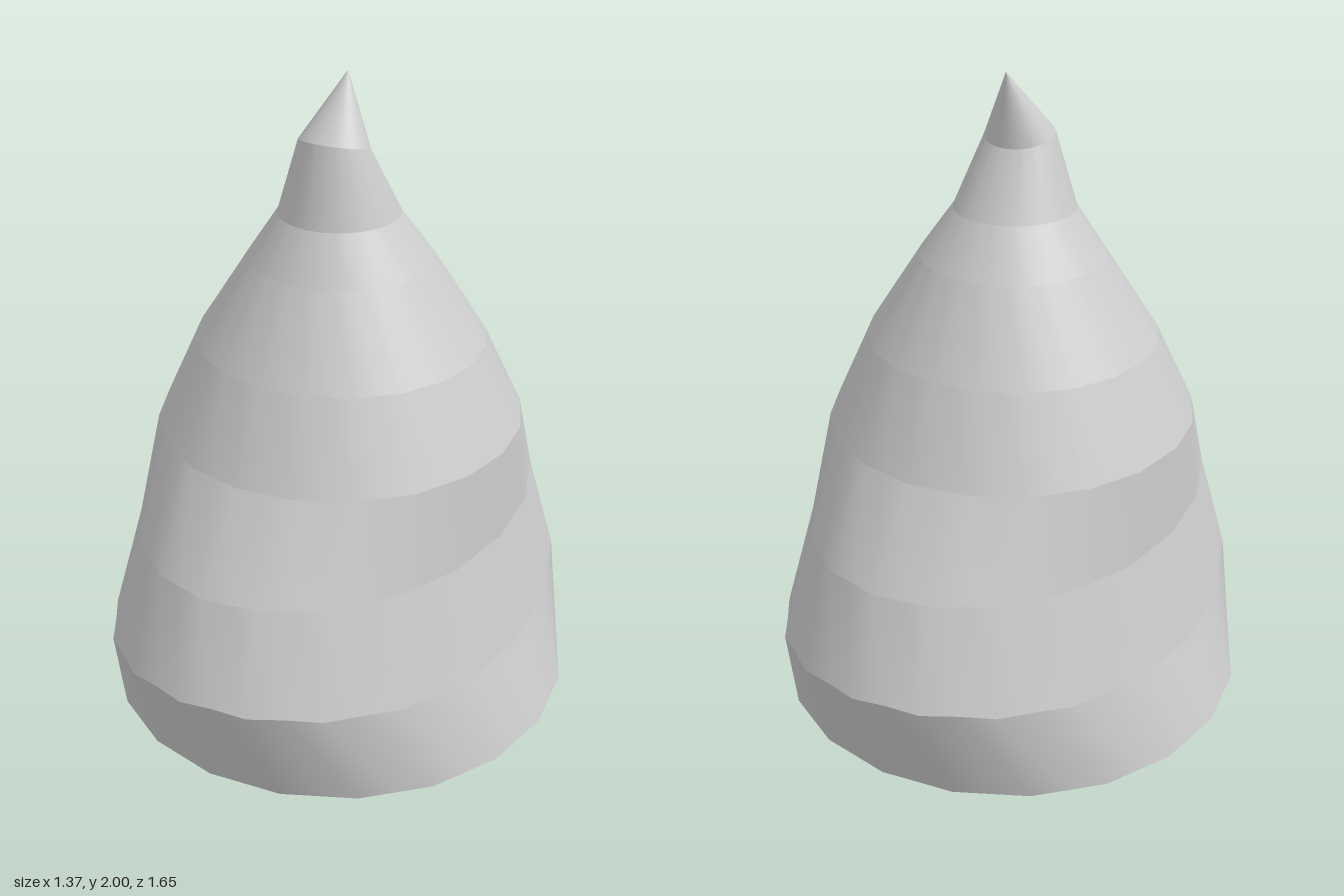
import * as THREE from 'three';

const SEGMENTS = 40;

// Cross-sections from bottom to top:
// height at the sides, extra height toward front and back, x radius, z radius, z centre, pleat depth
const base = [
  [0, 0, 0.385, 0.385, 0, 0.09],
  [0.155, 0.02, 0.685, 0.71, 0, 0.012],
];
const body = [
  base[1],
  [0.42, 0.09, 0.6, 0.825, 0, 0.015],
  [0.75, 0.02, 0.525, 0.71, 0, 0.015],
  [1.02, 0, 0.52, 0.535, 0, 0.012],
  [1.26, 0, 0.412, 0.408, 0, 0.012],
  [1.495, 0, 0.26, 0.26, 0, 0.012],
  [1.625, 0, 0.17, 0.17, 0.01, 0.012],
  [1.82, 0, 0.1, 0.085, 0.035, 0, 0.02],
];
const tip = [
  body[body.length - 1],
  [2, 0, 0, 0, -0.035, 0],
];

// Point on a cross-section; every second point sits slightly inward to form pleats
function ringPoint([y, rise, rx, rz, cz, pleat, tilt = 0], i) {
  const a = ((i % SEGMENTS) / SEGMENTS) * Math.PI * 2;
  const k = i % 2 ? 1 - pleat : 1;
  const s = Math.sin(a);
  return [Math.cos(a) * rx * k, y + rise * s * s + tilt * s, cz + s * rz * k];
}

// Skin between cross-sections, smooth around and creased at each ring
function loft(name, rings, material) {
  const positions = [];
  const index = [];
  for (let r = 0; r < rings.length - 1; r++) {
    const start = positions.length / 3;
    for (let i = 0; i < SEGMENTS; i++) {
      positions.push(...ringPoint(rings[r], i), ...ringPoint(rings[r + 1], i));
    }
    for (let i = 0; i < SEGMENTS; i++) {
      const a = start + i * 2;
      const b = start + ((i + 1) % SEGMENTS) * 2;
      index.push(a, a + 1, b + 1, a, b + 1, b);
    }
  }
  const geometry = new THREE.BufferGeometry();
  geometry.setAttribute('position', new THREE.Float32BufferAttribute(positions, 3));
  geometry.setIndex(index);
  geometry.computeVertexNormals();
  const mesh = new THREE.Mesh(geometry, material);
  mesh.name = name;
  return mesh;
}

export function createModel() {
  const group = new THREE.Group();
  group.name = 'pointedMound';
  const material = new THREE.MeshStandardMaterial({ color: 0xcccccc });

  // Pleated underside, swelling body and bent tip
  group.add(
    loft('base', base, material),
    loft('body', body, material),
    loft('tip', tip, material),
  );

  // Flat bottom with a scalloped edge
  const outline = new THREE.Shape();
  for (let i = 0; i < SEGMENTS; i++) {
    const [x, , z] = ringPoint(base[0], i);
    if (i) outline.lineTo(x, z);
    else outline.moveTo(x, z);
  }
  const bottom = new THREE.Mesh(new THREE.ShapeGeometry(outline), material);
  bottom.rotation.x = Math.PI / 2;
  bottom.name = 'bottom';
  group.add(bottom);

  return group;
}
